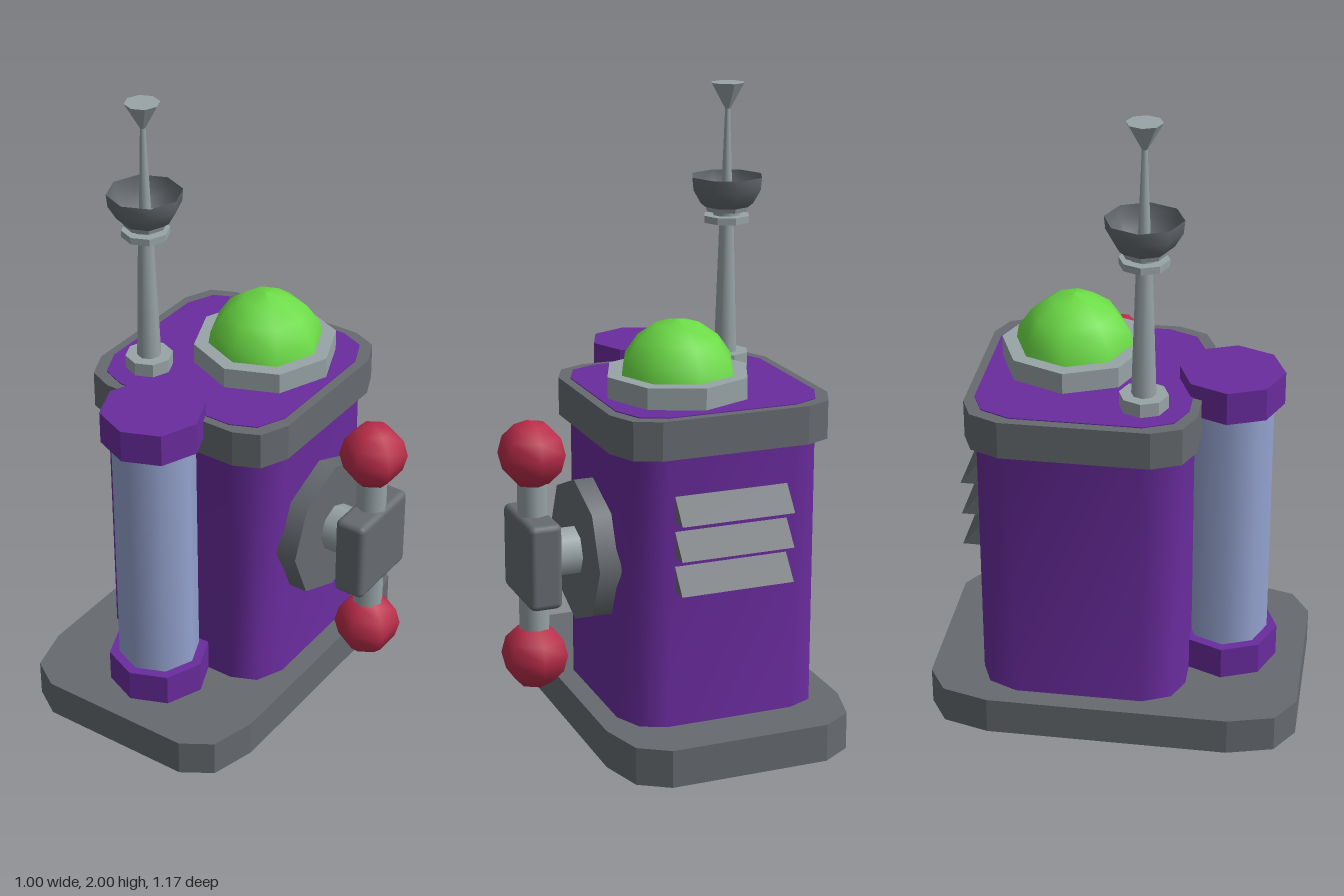
import * as THREE from 'three';
import { RoundedBoxGeometry } from 'three/addons/geometries/RoundedBoxGeometry.js';

const paint = (name, color, extra = {}) => {
  const m = new THREE.MeshStandardMaterial({ color, ...extra });
  m.name = name;
  return m;
};

// Rectangle outline with three-point clipped corners, counter-clockwise from above, as [x, z]
function outline(cx, cz, hw, hd, [a, b, c, d]) {
  const corner = [[hw, hd - d], [hw - b, hd - c], [hw - a, hd]];
  const flip = (sx, sz, rev) => {
    const pts = corner.map(([x, z]) => [cx + sx * x, cz + sz * z]);
    return rev ? pts.reverse() : pts;
  };
  return [...flip(1, 1, true), ...flip(1, -1), ...flip(-1, -1, true), ...flip(-1, 1)];
}

// Flat slab from an outline
function slab(points, y0, y1) {
  const shape = new THREE.Shape(points.map(([x, z]) => new THREE.Vector2(x, -z)));
  const g = new THREE.ExtrudeGeometry(shape, { depth: y1 - y0, bevelEnabled: false });
  return g.rotateX(-Math.PI / 2).translate(0, y0, 0);
}

// Smooth skin through stacked outlines of equal point count
function loft(rings) {
  const n = rings[0].points.length, pos = [], idx = [];
  rings.forEach(({ points, y }) => points.forEach(([x, z]) => pos.push(x, y, z)));
  for (let r = 0; r < rings.length - 1; r++) {
    for (let i = 0; i < n; i++) {
      const a = r * n + i, b = r * n + (i + 1) % n;
      idx.push(a, b, b + n, a, b + n, a + n);
    }
  }
  const g = new THREE.BufferGeometry();
  g.setAttribute('position', new THREE.Float32BufferAttribute(pos, 3));
  g.setIndex(idx);
  g.computeVertexNormals();
  return g;
}

export function createModel() {
  const grey = paint('dark grey metal', 0x666b70);
  const bowlGrey = paint('dish grey metal', 0x666b70, { side: THREE.DoubleSide });
  const light = paint('light grey metal', 0x98a4a7);
  const purple = paint('purple paint', 0x6a2c9e);
  const glass = paint('pale blue glass', 0x95a3d0);
  const green = paint('green dome', 0x6cdb46);
  const red = paint('red knob', 0xbb2d4a);

  const model = new THREE.Group();
  const add = (name, geo, mat, x = 0, y = 0, z = 0, parent = model) => {
    const m = new THREE.Mesh(geo, mat);
    m.name = name;
    m.position.set(x, y, z);
    parent.add(m);
    return m;
  };
  const group = (name, x, y, z) => {
    const g = new THREE.Group();
    g.name = name;
    g.position.set(x, y, z);
    model.add(g);
    return g;
  };
  // Upright eight-sided cylinder between two heights
  const post = (rTop, rBottom, y0, y1, flat = false) => {
    const g = new THREE.CylinderGeometry(rTop, rBottom, y1 - y0, 8).translate(0, (y0 + y1) / 2, 0);
    if (!flat) return g;
    const f = g.toNonIndexed();
    f.computeVertexNormals();
    return f;
  };
  const lathe = pts => new THREE.LatheGeometry(pts.map(p => new THREE.Vector2(...p)), 8);

  // Base, cabinet and top collar
  const cx = -0.115, cz = -0.097;
  const cut = [0.12, 0.04, 0.035, 0.125];
  add('base', slab(outline(cx, 0, 0.39, 0.585, [0.135, 0.04, 0.06, 0.205]), 0, 0.12), grey);
  const wall = outline(cx, cz, 0.325, 0.325, cut);
  const flange = outline(cx, cz, 0.35, 0.35, cut);
  add('cabinet', loft([
    { points: flange, y: 0.118 }, { points: wall, y: 0.119 },
    { points: wall, y: 0.982 }, { points: flange, y: 0.983 },
  ]), purple);
  add('collar', slab(outline(cx, cz, 0.355, 0.353, cut), 0.98, 1.1), grey);
  add('topPanel', slab(outline(cx, cz, 0.325, 0.325, cut), 1.095, 1.103), purple);

  // Dome and its seat
  const dome = group('dome', -0.042, 0, -0.163);
  add('domeRing', post(0.228, 0.228, 1.09, 1.17, true), light, 0, 0, 0, dome);
  add('domeGlass', lathe([[0.185, 1.15], [0.175, 1.21], [0.133, 1.27], [0.07, 1.315], [0, 1.33]]), green, 0, 0, 0, dome);

  // Front glass column with end caps
  const column = group('column', -0.115, 0, 0.335);
  add('columnGlass', post(0.13, 0.13, 0.2, 1.06), glass, 0, 0, 0, column);
  for (const y of [0.12, 1.04]) add('columnCap', post(0.162, 0.162, y, y + 0.105, true), purple, 0, 0, 0, column);

  // Antenna mast, discs, dish and flared tip
  const antenna = group('antenna', -0.31, 0, 0.09);
  add('mastFoot', post(0.075, 0.075, 1.09, 1.147, true), light, 0, 0, 0, antenna);
  add('mast', post(0.024, 0.038, 1.147, 1.57), light, 0, 0, 0, antenna);
  add('lowerDisc', post(0.075, 0.075, 1.565, 1.587, true), light, 0, 0, 0, antenna);
  add('discNeck', post(0.045, 0.045, 1.587, 1.6), light, 0, 0, 0, antenna);
  add('upperDisc', post(0.073, 0.066, 1.6, 1.62, true), light, 0, 0, 0, antenna);
  add('dish', lathe([[0.068, 1.612], [0.088, 1.628], [0.113, 1.67], [0.117, 1.71]]), bowlGrey, 0, 0, 0, antenna);
  add('tipRod', post(0.008, 0.02, 1.615, 1.93), light, 0, 0, 0, antenna);
  add('tipCone', post(0.054, 0.006, 1.915, 2, true), light, 0, 0, 0, antenna);

  // Side lever: mount plate, axle, block, rods and knobs
  const lever = group('sideLever', 0, 0.608, -0.095);
  const plate = new THREE.CylinderGeometry(0.228, 0.228, 0.07, 8).rotateZ(Math.PI / 2);
  add('leverPlate', plate, grey, 0.237, 0, 0, lever);
  add('leverAxle', new THREE.CylinderGeometry(0.078, 0.078, 0.12, 8).rotateZ(Math.PI / 2), light, 0.315, 0, 0, lever);
  add('leverBlock', new RoundedBoxGeometry(0.105, 0.272, 0.27, 2, 0.02), grey, 0.408, 0, 0, lever);
  for (const s of [1, -1]) {
    add('leverRod', new THREE.CylinderGeometry(0.049, 0.049, 0.2, 8), light, 0.406, s * 0.18, 0, lever);
    const knob = add('leverKnob', new THREE.SphereGeometry(0.106, 6, 6), red, 0.407, s * 0.326, 0, lever);
    knob.rotation.y = Math.PI / 6;
  }

  // Wedge louvres on the back
  const wedge = new THREE.Shape([[0, 0], [0.07, 0], [0, 0.09]].map(p => new THREE.Vector2(...p)));
  for (const y of [0.56, 0.67, 0.78]) {
    const g = new THREE.ExtrudeGeometry(wedge, { depth: 0.365, bevelEnabled: false });
    add('backLouvre', g.rotateY(Math.PI / 2), grey, -0.295, y, -0.412);
  }

  return model;
}
